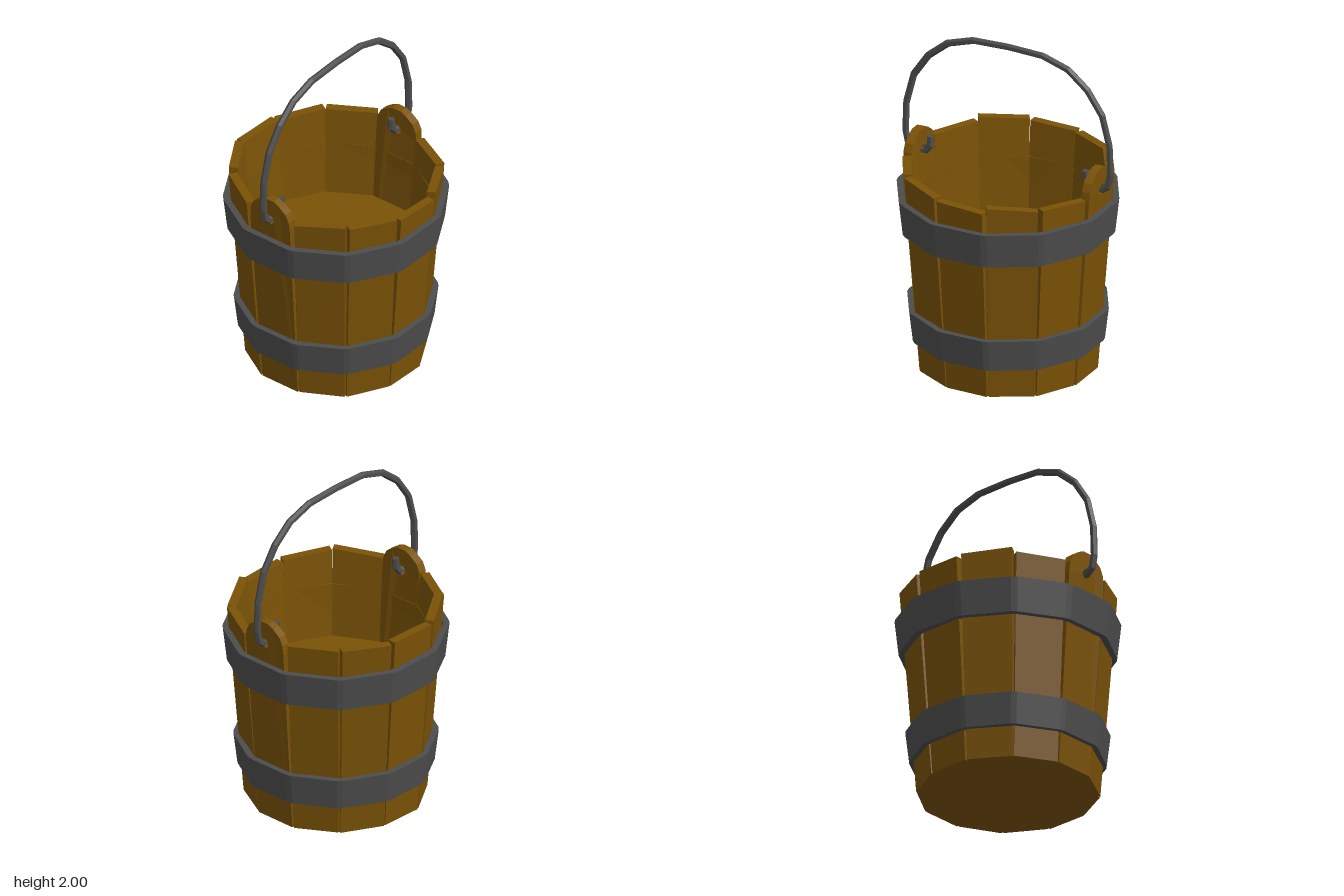
import * as THREE from 'three';

const wood = new THREE.MeshStandardMaterial({ color: 0x7a5206, flatShading: true });
const iron = new THREE.MeshStandardMaterial({ color: 0x4d4d4d, flatShading: true });
const SIDES = 12, STEP = Math.PI * 2 / SIDES;
const THICK = 0.052;

// outer face distance of the staves at height y; they stand upright above the hoop
const staveOut = (y) => 0.51 + 0.078 * Math.min(y, 1.22);

function addMesh(parent, name, geometry, material) {
  const mesh = new THREE.Mesh(geometry, material);
  mesh.name = name;
  parent.add(mesh);
}

// twelve-sided turned body with narrow chamfered corners; profile radii are flat distances
function facetedLathe(profile, halfAngle) {
  const pts = profile.map(([r, y]) => new THREE.Vector2(r / Math.cos(halfAngle), y));
  const geo = new THREE.LatheGeometry(pts, SIDES * 2);
  const pos = geo.attributes.position;
  for (let i = 0; i <= SIDES * 2; i++) {
    const a = Math.floor(i / 2) * STEP + (i % 2 ? halfAngle : -halfAngle);
    pts.forEach((p, j) => pos.setXYZ(i * pts.length + j, p.x * Math.sin(a), p.y, p.x * Math.cos(a)));
  }
  return geo;
}

// upright plank cut from a front outline, leaned outward and turned to its place
function staveGeometry(shape, angle, twist) {
  const geo = new THREE.ExtrudeGeometry(shape, { depth: THICK, bevelEnabled: false });
  const pos = geo.attributes.position;
  for (let i = 0; i < pos.count; i++) {
    const x = pos.getX(i), y = pos.getY(i);
    pos.setZ(i, pos.getZ(i) - THICK + staveOut(y) + x * twist);
  }
  return geo.rotateY(angle);
}

function plankShape(left, right) {
  return new THREE.Shape([
    [-0.131, 0], [0.131, 0], [0.148, right], [-0.148, left],
  ].map(([x, y]) => new THREE.Vector2(x, y)));
}

// plank with a rounded ear and a hole for the handle
function earShape() {
  const half = [[0.131, 0], [0.146, 1.18], [0.141, 1.24], [0.118, 1.288], [0.068, 1.324], [0.03, 1.342]];
  const mirrored = half.map(([x, y]) => [-x, y]).reverse();
  const shape = new THREE.Shape([...half, ...mirrored].map(([x, y]) => new THREE.Vector2(x, y)));
  const hole = new THREE.Path();
  for (let i = 0; i < 8; i++) {
    const a = -i * Math.PI / 4 + Math.PI / 8;
    const x = 0.031 * Math.cos(a), y = 1.207 + 0.031 * Math.sin(a);
    if (i) hole.lineTo(x, y); else hole.moveTo(x, y);
  }
  hole.closePath();
  shape.holes.push(hole);
  return shape;
}

// bar with mitred bends following points [z, y] in the x = 0 plane
function barGeometry(path, radius, sides) {
  const pts = path.map(([z, y]) => new THREE.Vector2(z, y));
  const verts = [], index = [], n = pts.length;
  pts.forEach((p, i) => {
    const before = p.clone().sub(pts[Math.max(i - 1, 0)]).normalize();
    const after = pts[Math.min(i + 1, n - 1)].clone().sub(p).normalize();
    const t = before.clone().add(after).normalize();
    const mitre = 1 / Math.max(t.dot(i ? before : after), 0.7);
    for (let s = 0; s < sides; s++) {
      const a = (s + 0.5) / sides * Math.PI * 2;
      const u = Math.cos(a) * radius, v = Math.sin(a) * radius * mitre;
      verts.push(u, p.y + t.x * v, p.x - t.y * v);
    }
  });
  for (let i = 0; i < n - 1; i++) {
    for (let s = 0; s < sides; s++) {
      const a = i * sides + s, b = i * sides + (s + 1) % sides;
      index.push(a, b, a + sides, b, b + sides, a + sides);
    }
  }
  // end caps
  const last = (n - 1) * sides;
  for (let s = 1; s < sides - 1; s++) {
    index.push(0, s + 1, s, last, last + s, last + s + 1);
  }
  const geo = new THREE.BufferGeometry();
  geo.setAttribute('position', new THREE.Float32BufferAttribute(verts, 3));
  geo.setIndex(index);
  geo.computeVertexNormals();
  return geo;
}

export function createModel() {
  const bucket = new THREE.Group();
  bucket.name = 'bucket';

  // staves: left and right top heights, going round from the front; null marks an ear
  const tops = [
    null, [1.23, 1.25], [1.24, 1.225], [1.215, 1.2], [1.235, 1.21], [1.215, 1.2],
    null, [1.25, 1.25], [1.25, 1.24], [1.25, 1.25], [1.26, 1.28], [1.25, 1.24],
  ];
  const staves = new THREE.Group();
  staves.name = 'staves';
  bucket.add(staves);
  tops.forEach((top, i) => {
    const shape = top ? plankShape(...top) : earShape();
    const twist = top ? 0.04 * Math.sin(i * 2.3) : 0;
    addMesh(staves, top ? 'stave' : 'earStave', staveGeometry(shape, i * STEP, twist), wood);
  });

  // lining with base and inner floor
  addMesh(bucket, 'liningAndFloor', facetedLathe([
    [0, 0], [0.5, 0], [0.56, 1.03], [0.535, 1.03], [0.522, 0.7], [0, 0.7],
  ], THREE.MathUtils.degToRad(14.6)), wood);

  // iron hoops: bottom, top, outer distance at bottom and top
  const hoops = [['lowerHoop', 0.185, 0.377, 0.552, 0.574], ['upperHoop', 0.868, 1.078, 0.611, 0.634]];
  for (const [name, y0, y1, r0, r1] of hoops) {
    addMesh(bucket, name, facetedLathe([
      [r0 - 0.037, y0], [r0, y0], [r1, y1], [r1 - 0.037, y1], [r0 - 0.037, y0],
    ], THREE.MathUtils.degToRad(13.3)), iron);
  }

  // handle hooked through both ears
  const half = [
    [0.505, 1.305], [0.505, 1.245], [0.535, 1.208], [0.61, 1.208], [0.648, 1.235], [0.664, 1.31],
    [0.658, 1.49], [0.61, 1.675], [0.515, 1.815], [0.39, 1.918], [0.225, 1.971], [0, 1.979],
  ];
  const path = [...half, ...half.slice(0, -1).reverse().map(([z, y]) => [-z, y])];
  addMesh(bucket, 'handle', barGeometry(path, 0.021, 6), iron);

  return bucket;
}
